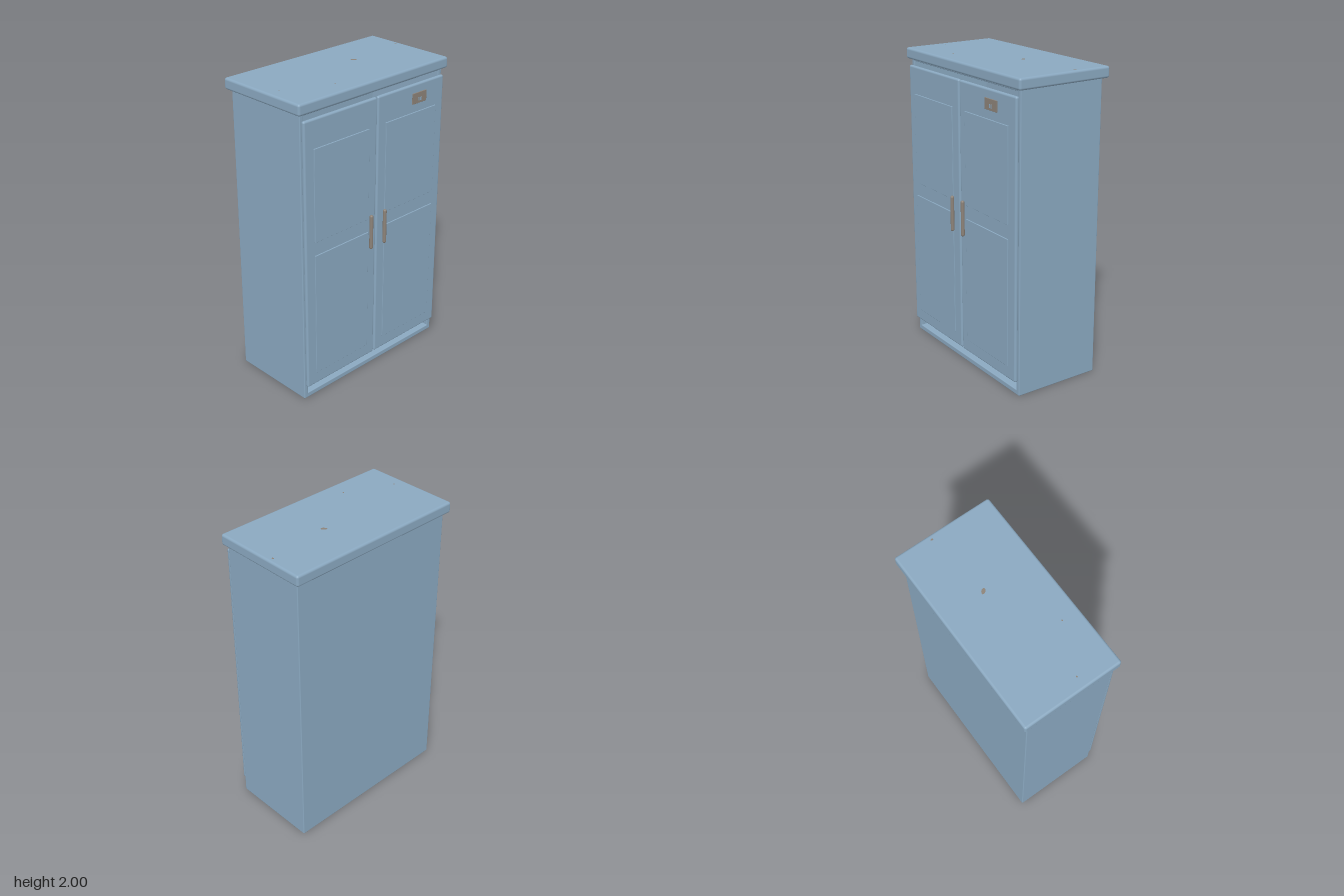
import * as THREE from 'three';
import { RoundedBoxGeometry } from 'three/addons/geometries/RoundedBoxGeometry.js';

export function createModel() {
  const root = new THREE.Group();
  root.name = 'cabinet';
  const blue = new THREE.MeshStandardMaterial({ color: 0x8aa8c0 });
  blue.name = 'blue paint';
  const metal = new THREE.MeshStandardMaterial({ color: 0x8c8278 });
  metal.name = 'worn metal';

  // Rounded box given by its minimum and maximum corners
  function box(name, a, b, radius, material = blue) {
    const s = a.map((v, i) => b[i] - v);
    const r = Math.min(radius, Math.min(...s) * 0.49);
    const mesh = new THREE.Mesh(new RoundedBoxGeometry(s[0], s[1], s[2], 3, r), material);
    mesh.position.set(...a.map((v, i) => (v + b[i]) / 2));
    mesh.name = name;
    root.add(mesh);
    return mesh;
  }

  // Open-fronted carcass
  const back = -0.31, front = 0.285;
  box('leftWall', [0.57, 0, back], [0.6, 1.94, front], 0.006);
  box('rightWall', [-0.6, 0, back], [-0.57, 1.94, front], 0.006);
  box('floor', [-0.6, 0, back], [0.6, 0.035, front], 0.006);
  box('ceiling', [-0.595, 1.915, back], [0.595, 1.94, front], 0.006);
  box('backPanel', [-0.6, 0, back], [0.6, 1.94, back + 0.03], 0.006);

  // Overhanging top slab
  box('topSlab', [-0.628, 1.928, -0.345], [0.628, 2, 0.313], 0.015);

  // Pair of doors with raised panels and bar handles
  for (const [side, x0, x1, p0, p1, hx] of [
    ['right', -0.593, -0.004, -0.523, -0.073, -0.062],
    ['left', 0.004, 0.593, 0.071, 0.52, 0.058],
  ]) {
    box(side + 'Door', [x0, 0.097, 0.286], [x1, 1.89, 0.312], 0.012);
    box(side + 'UpperPanel', [p0, 1.11, 0.302], [p1, 1.71, 0.319], 0.002);
    box(side + 'LowerPanel', [p0, 0.183, 0.302], [p1, 1.02, 0.319], 0.002);
    const handle = new THREE.Mesh(new THREE.CapsuleGeometry(0.012, 0.213, 4, 16), metal);
    handle.position.set(hx, 1.022, 0.333);
    handle.name = side + 'Handle';
    root.add(handle);
  }

  // Small name plate with two painted marks
  box('plate', [0.295, 1.768, 0.319], [0.42, 1.838, 0.326], 0.002, metal);
  for (const x of [0.35, 0.367]) {
    box('plateMark', [x - 0.005, 1.783, 0.325], [x + 0.005, 1.806, 0.3275], 0.0005);
  }

  // Low tray standing on the cabinet floor
  box('tray', [0.15, 0.044, -0.12], [0.445, 0.15, 0.14], 0.02, metal);

  // Worn paint chips on the top
  for (const [x, z, w, d, turn] of [
    [0.16, -0.055, 0.02, 0.012, -0.8], [0.594, -0.105, 0.006, 0.009, 0],
    [-0.55, 0.06, 0.006, 0.004, 0.3], [-0.24, 0.195, 0.006, 0.004, 0],
  ]) {
    const chip = new THREE.Mesh(new THREE.CircleGeometry(1, 10).rotateX(-Math.PI / 2), metal);
    chip.scale.set(w, 1, d);
    chip.rotation.y = turn;
    chip.position.set(x, 2.0005, z);
    chip.name = 'paintChip';
    root.add(chip);
  }
  return root;
}
